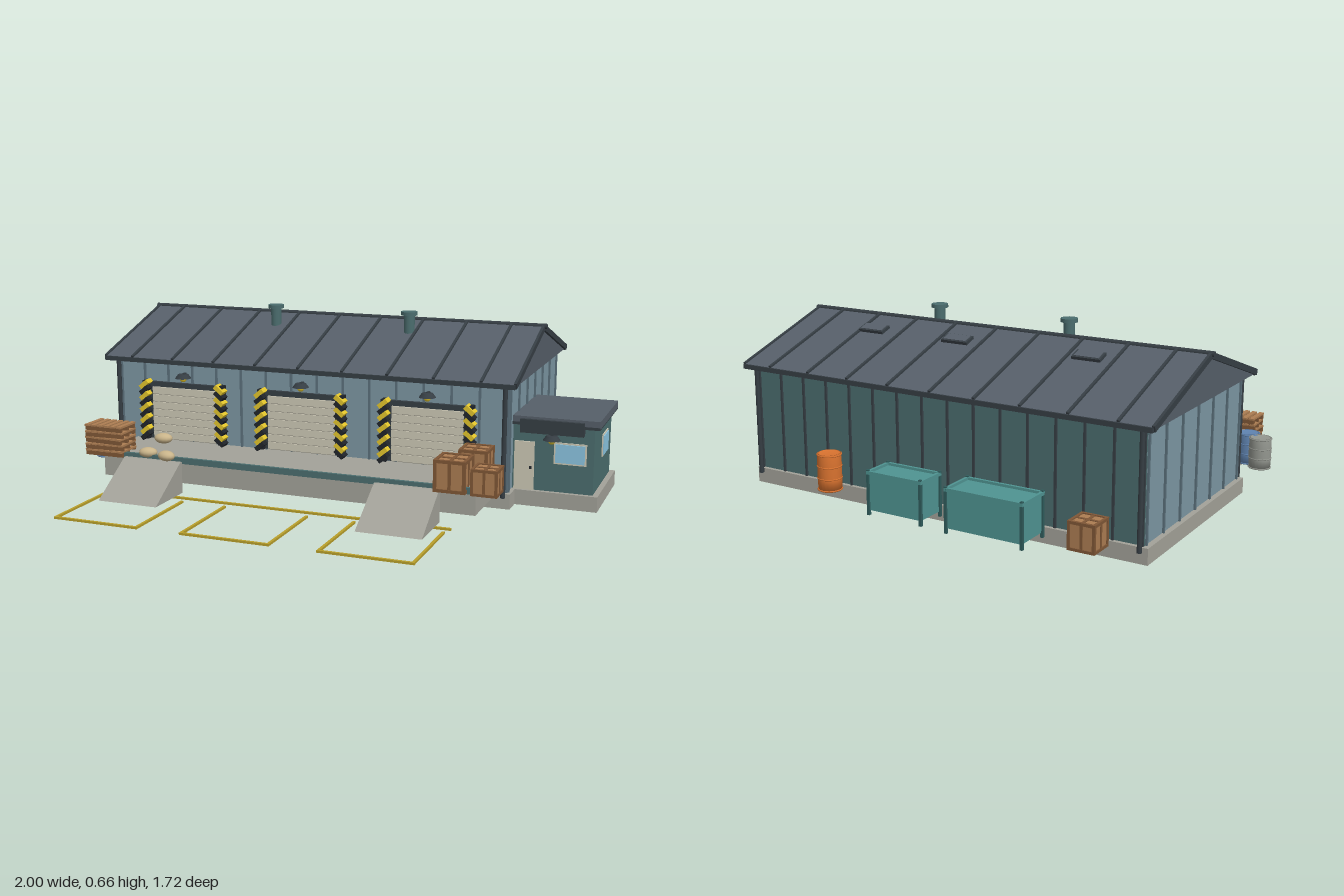
import * as THREE from 'three';

const C = {
  wall: 0x7d97a3, backWall: 0x4b6d6e, rib: 0x5b707b, roof: 0x565f69, trim: 0x363e44, teal: 0x4b6d6e,
  concrete: 0xa3a299, door: 0xcdc9b6, slat: 0x8f8c80, yellow: 0xe3c52c, black: 0x20242a, glass: 0x8cc6e2,
  crate: 0xac7d52, crateFrame: 0x7f5736, bin: 0x4f9492, binDark: 0x2f5c5c, orange: 0xd8722f,
  blue: 0x5f83b0, grey: 0x93968f, sack: 0xc9b48a, paint: 0xb9a02b,
};
const mats = {};
const mat = (c) => (mats[c] ??= new THREE.MeshStandardMaterial({ color: c }));

function add(parent, name, geo, color, x = 0, y = 0, z = 0) {
  const m = new THREE.Mesh(geo, mat(color));
  m.name = name;
  m.position.set(x, y, z);
  parent.add(m);
  return m;
}
// Box given by its extents on each axis
function box(parent, name, color, x0, x1, y0, y1, z0, z1) {
  return add(parent, name, new THREE.BoxGeometry(x1 - x0, y1 - y0, z1 - z0), color,
    (x0 + x1) / 2, (y0 + y1) / 2, (z0 + z1) / 2);
}
function group(parent, name, x = 0, y = 0, z = 0) {
  const g = new THREE.Group();
  g.name = name;
  g.position.set(x, y, z);
  parent.add(g);
  return g;
}
// Prism along x from a [z, y] outline
function prism(parent, name, color, pts, x0, x1) {
  const shape = new THREE.Shape(pts.map(([z, y]) => new THREE.Vector2(z, y)));
  const geo = new THREE.ExtrudeGeometry(shape, { depth: x1 - x0, bevelEnabled: false });
  geo.rotateY(-Math.PI / 2);
  return add(parent, name, geo, color, x1, 0, 0);
}

// Wooden crate with edge battens and a cross on each side; y is its underside
function crate(parent, x, y, z, s) {
  const g = group(parent, 'crate', x, y + s / 2, z), h = s / 2, t = s * 0.1;
  add(g, 'crateBody', new THREE.BoxGeometry(s * 0.92, s * 0.92, s * 0.92), C.crate);
  for (const a of [-1, 1]) for (const b of [-1, 1]) {
    const p = a * (h - t / 2), q = b * (h - t / 2);
    add(g, 'batten', new THREE.BoxGeometry(s, t, t), C.crateFrame, 0, p, q);
    add(g, 'batten', new THREE.BoxGeometry(t, s, t), C.crateFrame, p, 0, q);
    add(g, 'batten', new THREE.BoxGeometry(t, t, s), C.crateFrame, p, q, 0);
  }
  const w = s * 0.97;
  add(g, 'band', new THREE.BoxGeometry(w, w, t), C.crateFrame);
  add(g, 'band', new THREE.BoxGeometry(t, w, w), C.crateFrame);
}

function barrel(parent, color, x, y, z, r, h) {
  const g = group(parent, 'barrel', x, y, z);
  const prof = [[0, 0], [0.92, 0], [0.96, 0.3], [0.96, 0.7], [0.92, 1], [0.84, 1], [0.84, 0.97], [0, 0.97]];
  const geo = new THREE.LatheGeometry(prof.map(([a, b]) => new THREE.Vector2(a * r, b * h)), 20);
  add(g, 'barrelBody', geo, color);
  for (const f of [0.03, 0.34, 0.66, 0.97]) {
    const ring = add(g, 'barrelHoop', new THREE.TorusGeometry(r * 0.95, r * 0.06, 6, 20), color, 0, f * h, 0);
    ring.rotation.x = Math.PI / 2;
  }
}

// Open waste bin with rim, posts and ribs
function bin(parent, x0, x1, z0, z1) {
  const g = group(parent, 'wasteBin');
  box(g, 'binBody', C.bin, x0 + 0.006, x1 - 0.006, 0.085, 0.215, z0 + 0.006, z1 - 0.006);
  for (const z of [z0, z1 - 0.01]) box(g, 'binRim', C.bin, x0, x1, 0.212, 0.224, z, z + 0.01);
  for (const x of [x0, x1 - 0.01]) {
    box(g, 'binRim', C.bin, x, x + 0.01, 0.212, 0.224, z0, z1);
    for (const z of [z0, z1 - 0.01]) box(g, 'binPost', C.binDark, x, x + 0.01, 0.068, 0.228, z, z + 0.01);
  }
  for (let i = 1; i < 6; i++) {
    const x = x0 + (x1 - x0) * i / 6;
    box(g, 'binRib', C.binDark, x - 0.003, x + 0.003, 0.075, 0.1, z1 - 0.008, z1 + 0.003);
  }
}

function pallet(parent, x, y, z, turn) {
  const g = group(parent, 'pallet', x, y, z);
  g.rotation.y = turn;
  for (let i = 0; i < 6; i++)
    box(g, 'palletBoard', C.crate, -0.08 + i * 0.028, -0.062 + i * 0.028, 0.016, 0.023, -0.055, 0.055);
  for (const d of [-0.045, 0, 0.045]) box(g, 'palletRunner', C.crateFrame, -0.08, 0.078, 0, 0.016, d - 0.006, d + 0.006);
}

function wallLamp(parent, x, y, z) {
  const g = group(parent, 'wallLamp', x, y, z);
  add(g, 'lampShade', new THREE.CylinderGeometry(0.02, 0.032, 0.016, 12), C.trim, 0, 0.004, 0.02);
  add(g, 'lampBulb', new THREE.SphereGeometry(0.014, 10, 6), C.yellow, 0, -0.006, 0.02);
  add(g, 'lampArm', new THREE.BoxGeometry(0.01, 0.01, 0.03), C.trim, 0, 0.01, 0.005);
}

function loadingDoor(parent, x) {
  const g = group(parent, 'loadingDoor', x, 0.145, 0.18);
  box(g, 'doorFrame', C.trim, -0.155, 0.155, 0, 0.23, 0, 0.014);
  for (let i = 0; i < 7; i++) {
    box(g, 'doorPanel', C.door, -0.137, 0.137, i * 0.03 + 0.003, i * 0.03 + 0.03, 0, 0.022);
    box(g, 'doorSeam', C.slat, -0.137, 0.137, i * 0.03, i * 0.03 + 0.004, 0, 0.018);
  }
  // Striped guards of slanted blocks on both sides
  for (const s of [-1, 1]) {
    box(g, 'guardPost', C.black, s * 0.164 - 0.011, s * 0.164 + 0.011, 0, 0.235, 0, 0.035);
    for (let i = 0; i < 10; i++) {
      const b = add(g, 'guardStripe', new THREE.BoxGeometry(0.042, 0.018, 0.04), i % 2 ? C.yellow : C.black,
        s * 0.164, 0.014 + i * 0.023, 0.026);
      b.rotation.z = -s * 0.7;
    }
  }
  wallLamp(g, 0, 0.257, 0);
}

export function createModel() {
  const model = new THREE.Group();
  model.name = 'warehouse';

  // Foundation, dock, ramps
  box(model, 'foundation', C.concrete, -0.925, 0.7, 0.008, 0.065, -0.635, 0.2);
  box(model, 'officeFoundation', C.concrete, 0.68, 1, 0.008, 0.065, -0.265, 0.125);
  box(model, 'dock', C.concrete, -0.84, 0.635, 0.045, 0.14, 0.17, 0.43);
  box(model, 'dockEdge', C.teal, -0.84, 0.635, 0.122, 0.145, 0.426, 0.438);
  for (const x of [-0.74, 0.27])
    prism(model, 'ramp', C.concrete, [[0.438, 0.01], [0.64, 0.01], [0.45, 0.13], [0.438, 0.13]], x, x + 0.24);

  // Walls and vertical ribs
  box(model, 'walls', C.wall, -0.905, 0.685, 0.06, 0.47, -0.615, 0.18);
  box(model, 'backWall', C.backWall, -0.905, 0.685, 0.06, 0.465, -0.62, -0.61);
  for (let i = 0; i <= 15; i++) {
    const x = -0.9 + i * 0.1055;
    box(model, 'frontRib', C.rib, x - 0.004, x + 0.004, 0.065, 0.465, 0.17, 0.187);
    box(model, 'backRib', C.trim, x - 0.004, x + 0.004, 0.065, 0.465, -0.627, -0.61);
  }
  for (let i = 0; i <= 6; i++) {
    const z = -0.61 + i * 0.1305;
    for (const x of [-0.905, 0.685]) box(model, 'sideRib', C.rib, x - 0.007, x + 0.007, 0.065, 0.465, z - 0.004, z + 0.004);
  }

  // Gabled roof with standing seams, edge trim and gutters
  const x0 = -0.945, x1 = 0.715, zr = -0.22;
  prism(model, 'roof', C.roof, [[-0.66, 0.458], [0.22, 0.458], [0.22, 0.468], [zr, 0.612], [-0.66, 0.468]], x0 + 0.005, x1 - 0.005);
  const pitch = Math.atan2(0.147, 0.445), run = Math.hypot(0.147, 0.445);
  for (const s of [-1, 1]) {
    const slope = group(model, 'roofSlope', 0, 0.617, zr);
    slope.rotation.x = s * pitch;
    const zs = [Math.min(0, s * run), Math.max(0, s * run)];
    box(slope, 'roofSheet', C.roof, x0, x1, -0.008, 0.002, ...zs);
    for (let i = 0; i < 9; i++) {
      const x = -0.825 + i * 0.177;
      box(slope, 'roofSeam', C.trim, x - 0.005, x + 0.005, 0, 0.009, ...zs);
    }
    for (const x of [x0, x1]) box(slope, 'gableTrim', C.trim, x - 0.005, x + 0.005, -0.015, 0.007, ...zs);
    if (s < 0) for (const x of [-0.55, -0.015, 0.36]) {
      box(slope, 'skylightFrame', C.trim, x - 0.055, x + 0.055, 0, 0.013, -0.145, -0.095);
      box(slope, 'skylightPane', C.roof, x - 0.047, x + 0.047, 0, 0.016, -0.14, -0.1);
    }
    const ze = zr + s * 0.443;
    box(model, 'gutter', C.trim, x0, x1, 0.455, 0.472, ze - 0.01, ze + 0.01);
    for (const x of [-0.9, 0.675]) {
      const zp = zr + s * 0.425;
      add(model, 'downspout', new THREE.CylinderGeometry(0.009, 0.009, 0.41, 8), C.trim, x, 0.255, zp);
    }
  }
  const ridge = add(model, 'ridgeCap', new THREE.CylinderGeometry(0.01, 0.01, 1.685, 8), C.trim, (x0 + x1) / 2, 0.617, zr);
  ridge.rotation.z = Math.PI / 2;
  for (const x of [-0.355, 0.21]) {
    add(model, 'ventPipe', new THREE.CylinderGeometry(0.021, 0.021, 0.09, 14), C.teal, x, 0.605, -0.115);
    add(model, 'ventCap', new THREE.CylinderGeometry(0.032, 0.032, 0.014, 14), C.teal, x, 0.655, -0.115);
  }
  for (const x of [-0.615, -0.115, 0.385]) loadingDoor(model, x);

  // Side office
  const office = group(model, 'office');
  box(office, 'officeWalls', C.teal, 0.68, 0.98, 0.06, 0.315, -0.248, 0.108);
  box(office, 'officeRoof', C.roof, 0.68, 1, 0.312, 0.34, -0.266, 0.122);
  box(office, 'officeRoofTrim', C.trim, 0.68, 1.0, 0.308, 0.318, -0.268, 0.124);
  box(office, 'officeDoor', C.door, 0.692, 0.765, 0.065, 0.245, 0.1, 0.116);
  box(office, 'doorHandle', C.black, 0.75, 0.758, 0.145, 0.155, 0.11, 0.122);
  box(office, 'windowFrame', C.door, 0.836, 0.954, 0.17, 0.25, 0.1, 0.112);
  box(office, 'frontWindow', C.glass, 0.842, 0.948, 0.176, 0.244, 0.1, 0.116);
  box(office, 'windowFrame', C.door, 0.97, 0.984, 0.17, 0.254, -0.162, -0.05);
  box(office, 'sideWindow', C.glass, 0.97, 0.988, 0.176, 0.248, -0.156, -0.056);
  box(office, 'signBoard', C.trim, 0.715, 0.945, 0.282, 0.332, 0.105, 0.136);
  wallLamp(office, 0.83, 0.265, 0.108);

  // Painted ground markings
  const t = 0.005, line = (a, b, c, d) => box(model, 'groundLine', C.paint, a - t, b + t, 0, 0.008, c - t, d + t);
  line(-0.795, 0.56, 0.482, 0.482);
  for (const x of [-0.78, -0.28, 0.225]) {
    line(x, x, 0.53, 0.855);
    line(x + 0.325, x + 0.325, 0.53, 0.855);
    line(x, x + 0.325, 0.855, 0.855);
  }

  // Goods around the building
  crate(model, 0.548, 0.125, 0.405, 0.115);
  crate(model, 0.595, 0.145, 0.28, 0.105);
  crate(model, 0.665, 0.118, 0.395, 0.095);
  crate(model, -0.76, 0.066, -0.728, 0.098);
  for (let i = 0; i < 5; i++) pallet(model, -0.818, 0.13 + i * 0.024, 0.415, [0, 0.05, -0.06, 0.04, -0.02][i]);
  for (const [x, y, z, r] of [[-0.65, 0.15, 0.425, 0.2], [-0.56, 0.15, 0.447, -0.2], [-0.605, 0.2, 0.385, 0.1]]) {
    const sack = add(model, 'sack', new THREE.SphereGeometry(0.036, 14, 10), C.sack, x, y, z);
    sack.scale.set(1, 0.55, 0.72);
    sack.rotation.y = r;
  }
  barrel(model, C.grey, -0.957, 0.09, 0.278, 0.043, 0.117);
  barrel(model, C.blue, -0.895, 0.09, 0.32, 0.043, 0.117);
  barrel(model, C.orange, 0.25, 0.09, -0.757, 0.045, 0.135);
  bin(model, -0.6, -0.305, -0.862, -0.722);
  bin(model, -0.208, 0.015, -0.852, -0.73);
  return model;
}
